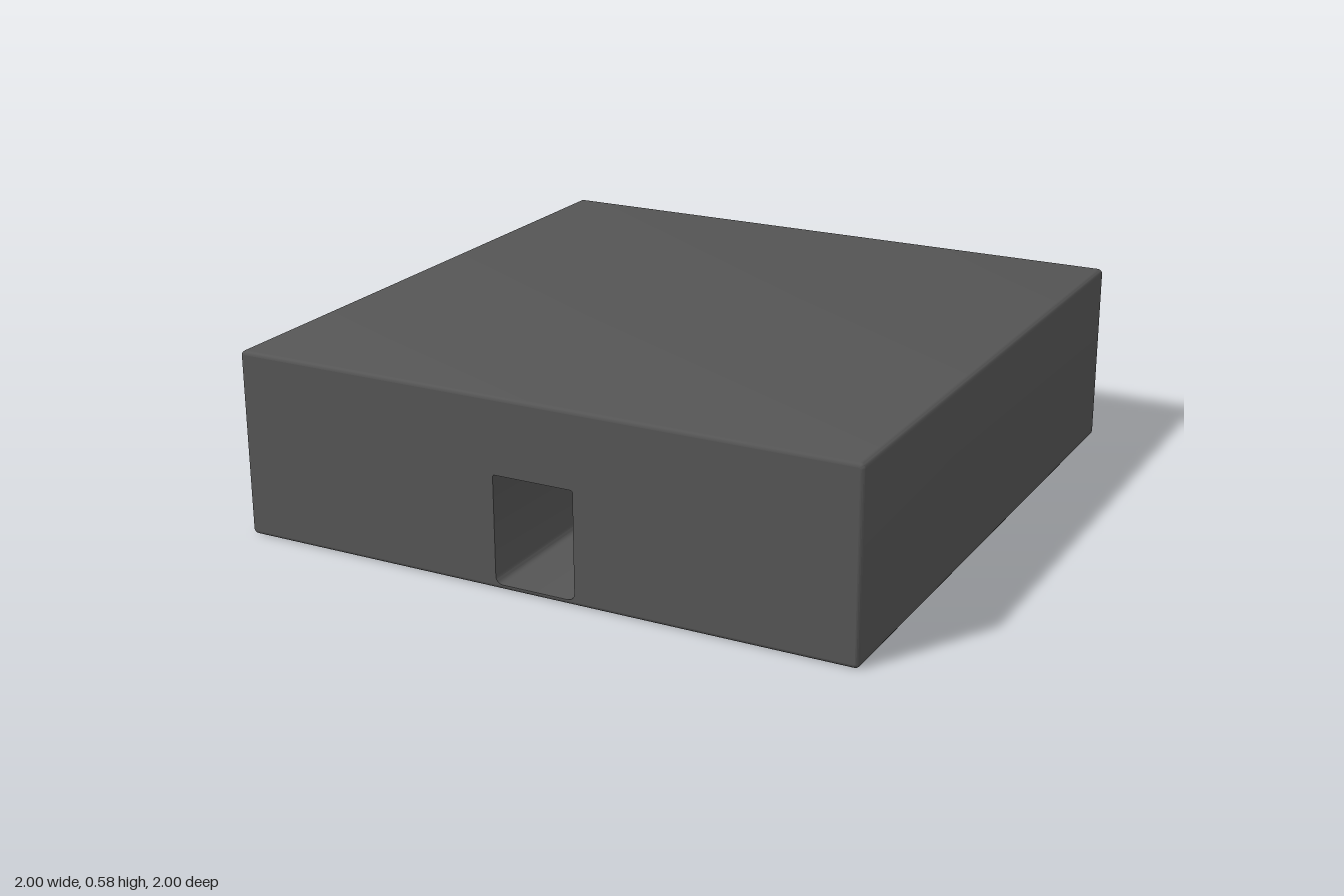
import * as THREE from 'three';
import { toCreasedNormals } from 'three/addons/utils/BufferGeometryUtils.js';

const HEIGHT = 0.585;
const CORNER = 0.016;  // corner radius of the block's cross-section
const BEVEL = 0.012;   // rounding of its front and back edges
const TUNNEL_END = 0;  // z of the recess's back wall

// Counter-clockwise outline of a rectangle with rounded corners
function outline(halfWidth, y0, y1, rBottom, rTop) {
  const corners = [
    [halfWidth, y0, rBottom, -1, 1], [halfWidth, y1, rTop, -1, -1],
    [-halfWidth, y1, rTop, 1, -1], [-halfWidth, y0, rBottom, 1, 1],
  ];
  const steps = 4, points = [];
  corners.forEach(([x, y, r, sx, sy], k) => {
    for (let i = 0; i <= steps; i++) {
      const a = (k - 1 + i / steps) * Math.PI / 2;
      points.push(new THREE.Vector2(x + sx * r + r * Math.cos(a), y + sy * r + r * Math.sin(a)));
    }
  });
  return points;
}

// Skin through matching outlines; faces outward for rising z, inward for falling z
function loft(rings) {
  const n = rings[0].points.length, position = [], index = [];
  rings.forEach(({ points, z }) => points.forEach((p) => position.push(p.x, p.y, z)));
  for (let j = 0; j < rings.length - 1; j++) {
    for (let i = 0; i < n; i++) {
      const a = j * n + i, b = j * n + (i + 1) % n;
      index.push(a, b, b + n, a, b + n, a + n);
    }
  }
  const geometry = new THREE.BufferGeometry();
  geometry.setAttribute('position', new THREE.Float32BufferAttribute(position, 3));
  geometry.setIndex(index);
  return toCreasedNormals(geometry, Math.PI / 5);
}

export function createModel() {
  const group = new THREE.Group();
  group.name = 'blockWithRecess';
  const material = new THREE.MeshStandardMaterial({ color: 0x555555 });
  const add = (name, geometry, z = 0) => {
    const mesh = new THREE.Mesh(geometry, material);
    mesh.name = name;
    mesh.position.z = z;
    group.add(mesh);
    return mesh;
  };

  const body = (inset) => outline(1 - inset, inset, HEIGHT - inset, CORNER - inset, CORNER - inset);
  const opening = outline(0.13, 0.015, 0.35, 0.022, 0.006);

  // Sides, top and underside with rounded front and back edges
  const rings = [];
  const steps = 4;
  for (const end of [-1, 1]) {
    for (let i = 0; i <= steps; i++) {
      const a = (end < 0 ? i : steps - i) / steps * Math.PI / 2;
      rings.push({ points: body(BEVEL * (1 - Math.sin(a))), z: end * (1 - BEVEL + BEVEL * Math.cos(a)) });
    }
  }
  add('outerWalls', loft(rings));

  // Front wall pierced by the opening
  const front = new THREE.Shape(body(BEVEL));
  front.holes.push(new THREE.Path(opening));
  add('frontWall', new THREE.ShapeGeometry(front), 1);

  // Solid back wall
  add('backWall', new THREE.ShapeGeometry(new THREE.Shape(body(BEVEL))), -1).rotation.y = Math.PI;

  // Deep recess behind the opening
  add('recessWalls', loft([{ points: opening, z: 1 }, { points: opening, z: TUNNEL_END }]));
  add('recessBack', new THREE.ShapeGeometry(new THREE.Shape(opening)), TUNNEL_END);

  return group;
}
